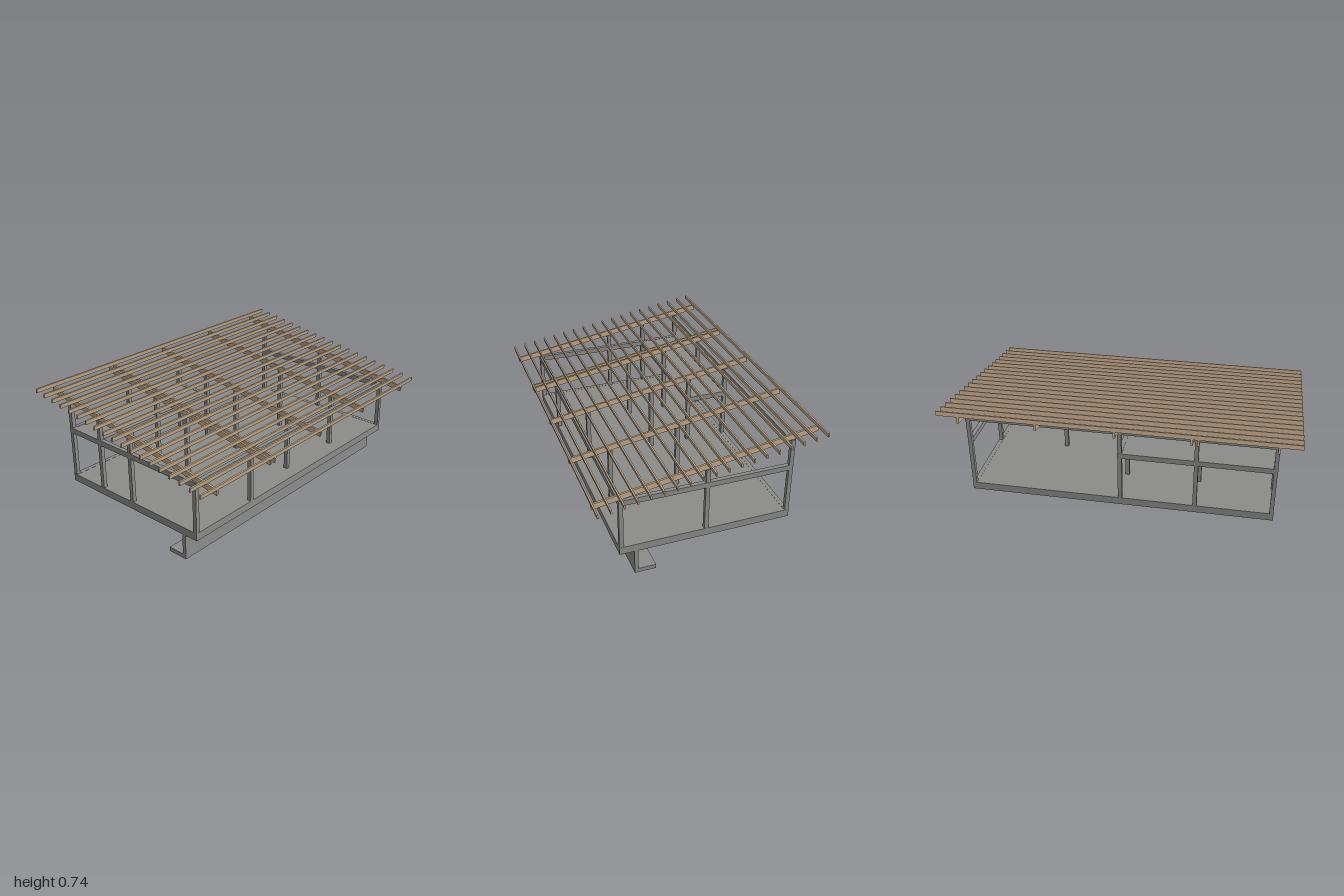
import * as THREE from 'three';

export function createModel() {
  const model = new THREE.Group();
  const steel = new THREE.MeshStandardMaterial({ color: 0x8c8c8a });
  steel.name = 'grey frame';
  const wood = new THREE.MeshStandardMaterial({ color: 0xc6ab8d });
  wood.name = 'light timber';

  // Box given by its minimum and maximum on each axis
  function block(name, [x0, x1], [y0, y1], [z0, z1], material = steel, parent = model) {
    const mesh = new THREE.Mesh(new THREE.BoxGeometry(x1 - x0, y1 - y0, z1 - z0), material);
    mesh.position.set((x0 + x1) / 2, (y0 + y1) / 2, (z0 + z1) / 2);
    mesh.name = name;
    parent.add(mesh);
  }
  const around = (c, w) => [c - w / 2, c + w / 2];
  const X = 0.885, ZB = -0.5, ZF = 0.495, W = 0.025;
  const slope = 0.162;
  const rafterBottom = (z) => 0.578 - slope * z;

  // Foundation wall and footing
  block('foundationWall', [-X, X], [0, 0.15], [0.39, 0.412]);
  block('foundationFooting', [-X, X], [0, 0.025], [0.29, 0.39]);

  // Floor frame: perimeter beams, joists and deck
  const floorY = [0.15, 0.195];
  block('floorBeamFront', [-X, X], floorY, [ZF - W, ZF]);
  block('floorBeamBack', [-X, X], floorY, [ZB, ZB + W]);
  for (const s of [-1, 1])
    block('floorBeamSide', around(s * (X - W / 2), W), floorY, [ZB + W, ZF - W]);
  block('floorDeck', [-X + W, X - W], [0.182, 0.194], [ZB + W, ZF - W]);
  const joistY = [0.15, 0.182];
  block('floorJoistLong', [-X + W, X - W], joistY, around(-0.01, W));
  block('floorJoistShort', [-X + W, 0], joistY, around(-0.25, W));
  for (const x of [-0.44, -0.005, 0.435])
    block('floorJoistCross', around(x, W), joistY, [ZB + W, ZF - W]);

  // Posts, grouped in rows by depth
  const ends = 0.8725;
  const rows = [
    { z: 0.4825, xs: [-ends, -0.4375, ends], top: 0.465 },
    { z: 0.401, xs: [-0.005, 0.435] },
    { z: 0, xs: [-ends, -0.4375, -0.005, 0.435, ends] },
    { z: -0.245, xs: [-ends, -0.4375, -0.005] },
    { z: -0.4875, xs: [-ends, -0.4375, -0.005, ends] },
  ];
  for (const { z, xs, top } of rows)
    for (const x of xs)
      block('post', around(x, 0.023), [0.195, top ?? rafterBottom(z)], around(z, 0.024));

  // Upper beams
  const upperY = [0.465, 0.497];
  block('upperBeamFront', [-X, X], upperY, [ZF - W, ZF]);
  for (const s of [-1, 1])
    block('upperBeamSide', around(s * ends, W), upperY, [ZB + W, ZF - W]);
  block('upperBeamBack', [-X, X], [0.622, 0.654], [ZB, ZB + W]);

  // Mezzanine in the back corner
  block('mezzanineBeamBack', [-X, 0.007], upperY, [ZB, ZB + W]);
  block('mezzanineBeamFront', [-X + W, 0.007], upperY, around(-0.25, W));
  block('mezzanineBeamEnd', around(-0.005, W), upperY, [ZB + W, -0.26]);
  block('mezzanineDeck', [-X + W, -0.01], [0.484, 0.495], [ZB + W, -0.255]);

  // Sloped roof: its local y = 0 is the underside of the rafters
  const roof = new THREE.Group();
  roof.name = 'roof';
  roof.position.y = 0.578;
  roof.rotation.x = Math.atan(slope);
  model.add(roof);
  const length = 1.286, depth = 0.034;
  for (const x of [-0.875, -0.455, -0.42, -0.003, 0.434, 0.872])
    block('rafter', around(x, 0.012), [0, depth], around(0, length), wood, roof);
  const count = 19;
  for (let i = 0; i < count; i++) {
    const z = (i / (count - 1) - 0.5) * (length - 0.01);
    block('roofBatten', [-1, 1], [depth, depth + 0.025], around(z, 0.009), wood, roof);
  }
  return model;
}
